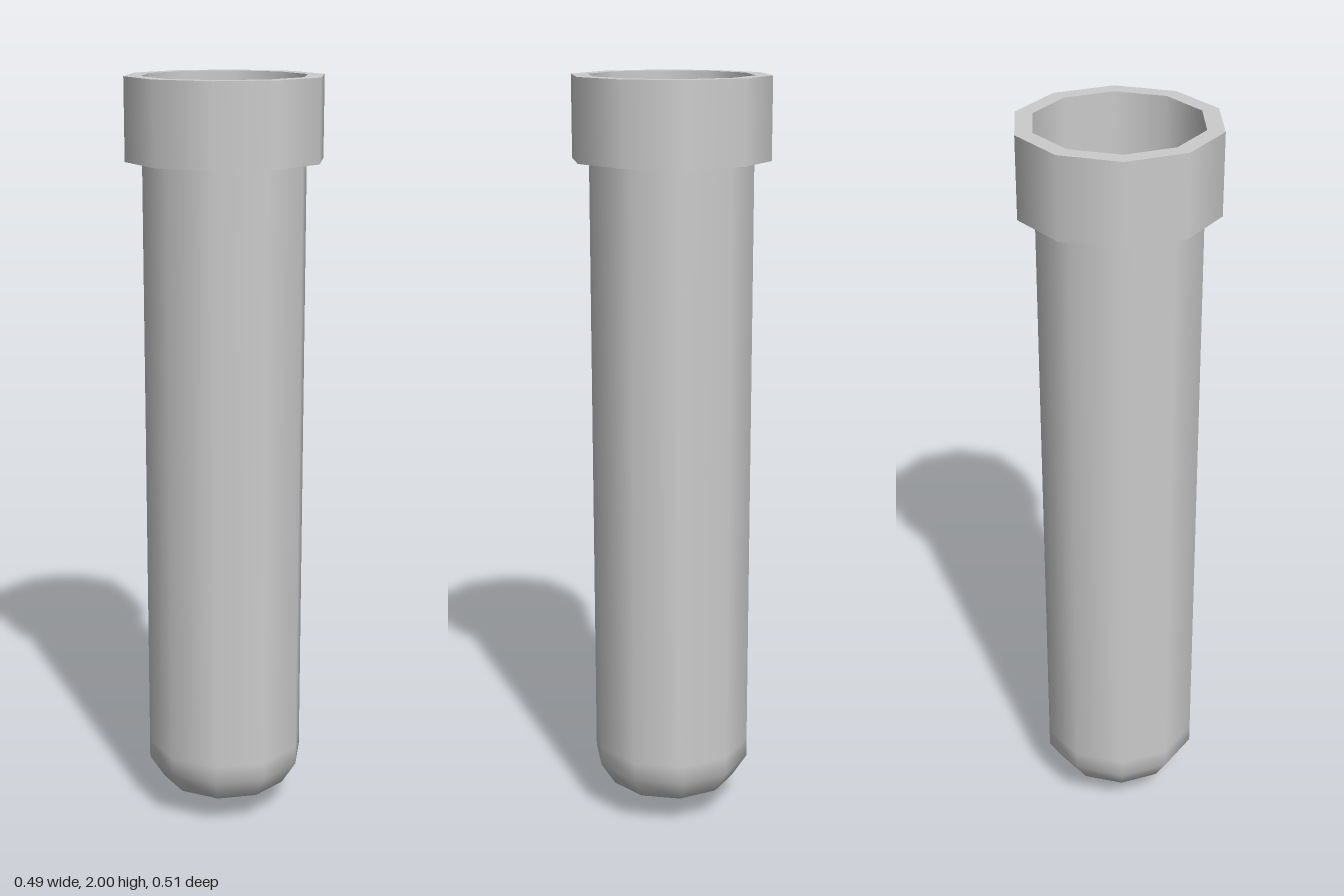
import * as THREE from 'three';

const SIDES = 10;
const TUBE_R = 0.213;
const RIM_R = 0.257;
const RIM_Y = 1.79;
const TOP_Y = 2;

export function createModel() {
  const model = new THREE.Group();
  model.name = 'testTube';
  const grey = new THREE.MeshStandardMaterial({ color: 0xcccccc, side: THREE.DoubleSide });
  grey.name = 'light grey';

  // Ten-sided smooth surface turned from [radius, height] pairs
  const turned = (name, profile, parent) => {
    const points = profile.map(([r, y]) => new THREE.Vector2(r, y));
    const mesh = new THREE.Mesh(new THREE.LatheGeometry(points, SIDES), grey);
    mesh.name = name;
    parent.add(mesh);
  };

  // Thin open tube with a rounded, pointed bottom
  turned('tubeBody', [
    [0, 0], [0.173, 0.087], [TUBE_R, 0.15], [TUBE_R, 0.2], [TUBE_R, TOP_Y],
  ], model);

  // Collar around the mouth: separate faces keep its edges sharp
  const rim = new THREE.Group();
  rim.name = 'rim';
  model.add(rim);
  turned('rimUnderside', [[TUBE_R, RIM_Y], [RIM_R, RIM_Y]], rim);
  turned('rimWall', [[RIM_R, RIM_Y], [RIM_R, TOP_Y]], rim);
  turned('rimTop', [[RIM_R, TOP_Y], [TUBE_R, TOP_Y]], rim);

  return model;
}
